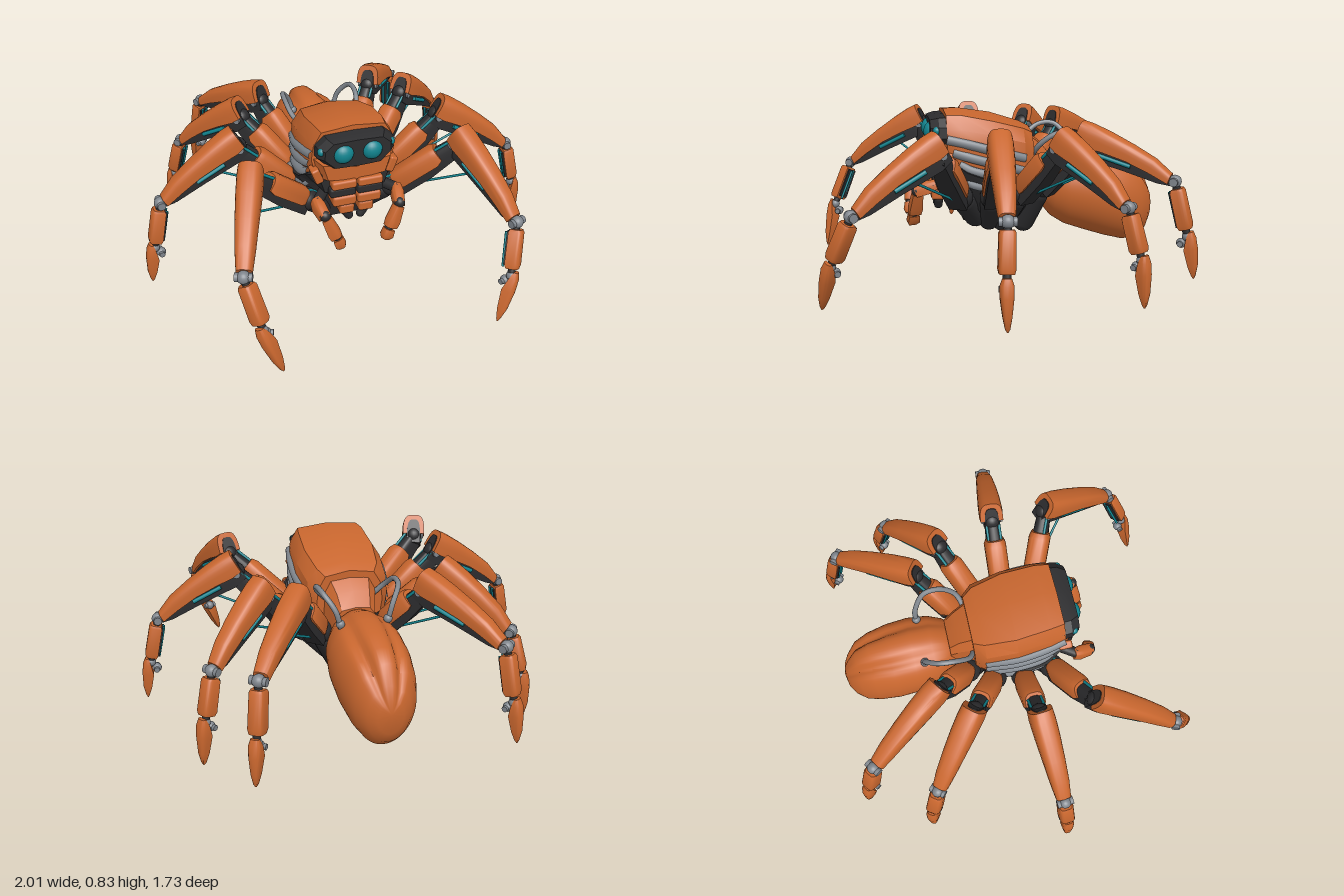
import * as THREE from 'three';
import { toCreasedNormals } from 'three/addons/utils/BufferGeometryUtils.js';
import { RoundedBoxGeometry } from 'three/addons/geometries/RoundedBoxGeometry.js';

const mat = (name, color) => Object.assign(new THREE.MeshStandardMaterial({ color }), { name });
const V = (x, y, z) => new THREE.Vector3(x, y, z);

// Skin closed rings of points (counter-clockwise about the direction of travel), capped at both ends
function loft(rings, crease = 0.7) {
  const pos = [], n = rings[0].length;
  const tri = (...ps) => ps.forEach(p => pos.push(p.x, p.y, p.z));
  const mid = r => r.reduce((s, p) => s.add(p), V(0, 0, 0)).divideScalar(n);
  const first = rings[0], last = rings[rings.length - 1], c0 = mid(first), c1 = mid(last);
  for (let i = 0; i < n; i++) {
    const j = (i + 1) % n;
    for (let k = 0; k + 1 < rings.length; k++) {
      const a = rings[k], b = rings[k + 1];
      tri(a[i], a[j], b[j]);
      tri(a[i], b[j], b[i]);
    }
    tri(c0, first[j], first[i]);
    tri(c1, last[i], last[j]);
  }
  const g = new THREE.BufferGeometry();
  g.setAttribute('position', new THREE.Float32BufferAttribute(pos, 3));
  return toCreasedNormals(g, crease);
}

// Symmetric section: half outline from top centre down to the bottom edge, placed at depth z
function section(z, half) {
  const left = half.map(([x, y]) => V(-x, y, z));
  const right = half.slice().reverse().filter(p => p[0] > 0).map(([x, y]) => V(x, y, z));
  return [...left, ...right];
}

// Arched shell from a to b, its back towards ref; stations are [t, half width, base height, arch height]
function shell(a, b, stations, power = 0.6, ref = V(0, 1, 0)) {
  const dir = b.clone().sub(a), d = dir.clone().normalize();
  const up = ref.clone().addScaledVector(d, -ref.dot(d)).normalize();
  const side = up.clone().cross(d), n = 14;
  const bend = v => Math.sign(v) * Math.abs(v) ** power;
  return loft(stations.map(([t, w, base, h]) => Array.from({ length: n + 1 }, (_, i) => {
    const q = Math.PI * i / n;
    return a.clone().addScaledVector(dir, t)
      .addScaledVector(side, w * bend(Math.cos(q)))
      .addScaledVector(up, base + h * bend(Math.max(0, Math.sin(q))));
  })));
}

export function createModel() {
  const orange = mat('orange armour', 0xc8662e), dark = mat('dark frame', 0x2c2c2e);
  const grey = mat('grey metal', 0x7f858c), teal = mat('teal glass', 0x11848f);
  const model = new THREE.Group();
  model.name = 'mechanicalSpider';
  const add = (parent, name, geo, material, p) => {
    const m = new THREE.Mesh(geo, material);
    m.name = name;
    if (p) m.position.copy(p);
    parent.add(m);
    return m;
  };
  const rod = (parent, name, a, b, r, material, round = false) => {
    const len = a.distanceTo(b);
    const g = round ? new THREE.CapsuleGeometry(r, len, 6, 16) : new THREE.CylinderGeometry(r, r, len, 12);
    const m = add(parent, name, g, material, a.clone().lerp(b, 0.5));
    m.quaternion.setFromUnitVectors(V(0, 1, 0), b.clone().sub(a).normalize());
    return m;
  };
  const ball = (parent, name, p, r, material) => add(parent, name, new THREE.SphereGeometry(r, 20, 14), material, p);
  const box = (parent, name, w, h, d, p, material) =>
    add(parent, name, new RoundedBoxGeometry(w, h, d, 2, Math.min(w, h, d) * 0.25), material, p);

  // Carapace and rear neck plate
  add(model, 'carapace', loft([
    section(-0.18, [[0, 0.73], [0.12, 0.71], [0.155, 0.65], [0.165, 0.56], [0.15, 0.46]]),
    section(-0.13, [[0, 0.755], [0.15, 0.735], [0.195, 0.67], [0.205, 0.57], [0.19, 0.46]]),
    section(0.02, [[0, 0.802], [0.172, 0.775], [0.213, 0.71], [0.225, 0.62], [0.205, 0.48]]),
    section(0.18, [[0, 0.826], [0.165, 0.807], [0.205, 0.74], [0.22, 0.66], [0.195, 0.53]]),
    section(0.25, [[0, 0.824], [0.155, 0.808], [0.195, 0.74], [0.205, 0.67], [0.18, 0.57]]),
  ], 0.45), orange);
  add(model, 'neckPlate', loft([
    section(-0.29, [[0, 0.585], [0.07, 0.575], [0.095, 0.54], [0.1, 0.42]]),
    section(-0.24, [[0, 0.65], [0.08, 0.64], [0.108, 0.59], [0.11, 0.42]]),
    section(-0.15, [[0, 0.715], [0.1, 0.705], [0.135, 0.64], [0.14, 0.42]]),
  ], 0.45), orange);

  // Dark underside hull, cut away below the head
  add(model, 'underHull', loft([
    section(-0.25, [[0, 0.5], [0.08, 0.48], [0.08, 0.36], [0.04, 0.32], [0, 0.32]]),
    section(-0.12, [[0, 0.52], [0.21, 0.49], [0.16, 0.34], [0.07, 0.25], [0, 0.25]]),
    section(0.08, [[0, 0.55], [0.25, 0.51], [0.18, 0.34], [0.08, 0.245], [0, 0.245]]),
    section(0.16, [[0, 0.6], [0.245, 0.54], [0.17, 0.36], [0.08, 0.27], [0, 0.27]]),
    section(0.2, [[0, 0.62], [0.225, 0.57], [0.17, 0.5], [0.08, 0.45], [0, 0.45]]),
    section(0.28, [[0, 0.64], [0.18, 0.6], [0.15, 0.5], [0.05, 0.46], [0, 0.46]]),
  ]), dark);

  // Face mask and chin
  const faceRing = (z, s) => section(z, [[0, 0.795], [0.135, 0.79], [0.18, 0.75], [0.183, 0.7], [0.125, 0.642], [0, 0.638]]
    .map(([x, y]) => [x * s, 0.72 + (y - 0.72) * s]));
  add(model, 'faceMask', loft([faceRing(0.23, 1.06), faceRing(0.285, 1.03), faceRing(0.325, 0.88)], 0.4), dark);
  add(model, 'chinPlate', loft([
    section(0.23, [[0, 0.65], [0.205, 0.68], [0.19, 0.57], [0, 0.56]]),
    section(0.31, [[0, 0.635], [0.165, 0.665], [0.14, 0.58], [0, 0.565]]),
  ], 0.4), orange);

  // Abdomen: egg-shaped with two grooves beside a raised spine; rows are [z, centre y, ry, rx, groove depth]
  const abdomen = [[-0.835, 0.32, 0.02, 0.015, 0.1], [-0.825, 0.305, 0.085, 0.06, 0.18], [-0.8, 0.305, 0.14, 0.1, 0.18],
    [-0.75, 0.325, 0.205, 0.142, 0.17], [-0.68, 0.345, 0.227, 0.166, 0.15], [-0.58, 0.37, 0.226, 0.183, 0.11],
    [-0.47, 0.395, 0.215, 0.185, 0.07], [-0.37, 0.41, 0.195, 0.17, 0.05], [-0.3, 0.42, 0.16, 0.14, 0.03],
    [-0.25, 0.43, 0.11, 0.1, 0], [-0.22, 0.43, 0.05, 0.05, 0]];
  add(model, 'abdomen', loft(abdomen.map(([z, cy, ry, rx, depth]) => Array.from({ length: 72 }, (_, i) => {
    const q = 2 * Math.PI * i / 72, fromTop = Math.abs(Math.atan2(Math.cos(q), Math.sin(q)));
    const r = 1 - depth * Math.exp(-(((fromTop - 0.5) / 0.16) ** 2));
    return V(rx * r * Math.cos(q), cy + ry * r * Math.sin(q), z);
  })), 0.9), orange);

  // Rows per leg: hip, trochanter, knee, ankle, wrist, tip
  const legs = {
    frontLeg: [[0.08, 0.29, 0.1], [0.22, 0.42, 0.19], [0.505, 0.68, 0.32], [0.64, 0.45, 0.71], [0.59, 0.22, 0.805], [0.52, 0, 0.855]],
    secondLeg: [[0.08, 0.27, 0.03], [0.24, 0.42, 0.04], [0.51, 0.69, 0.05], [0.9, 0.47, 0.085], [0.955, 0.23, 0.098], [0.99, 0.03, 0.1]],
    thirdLeg: [[0.08, 0.26, -0.04], [0.22, 0.43, -0.1], [0.43, 0.68, -0.24], [0.715, 0.46, -0.485], [0.765, 0.235, -0.535], [0.79, 0.02, -0.55]],
    rearLeg: [[0.06, 0.25, -0.15], [0.16, 0.45, -0.22], [0.3, 0.68, -0.385], [0.555, 0.535, -0.755], [0.585, 0.28, -0.815], [0.605, 0.08, -0.85]],
  };
  function buildLeg(name, rows, s) {
    const leg = new THREE.Group();
    leg.name = name;
    model.add(leg);
    const [hip, troch, knee, ankle, wrist, tip] = rows.map(([x, y, z]) => V(x * s, y, z));
    const at = (a, b, t, y = 0) => a.clone().lerp(b, t).add(V(0, y, 0));
    const across = ankle.clone().sub(knee).cross(V(0, 1, 0)).normalize().multiplyScalar(0.052);
    const outward = V(ankle.x, 0, ankle.z).normalize();
    // Hip and upper leg
    rod(leg, 'hip', hip, at(hip, troch, 0.75), 0.055, dark, true);
    ball(leg, 'hipJoint', troch, 0.06, dark);
    add(leg, 'upperFrame', shell(troch, knee, [[0, 0.045, -0.07, 0.1], [0.5, 0.045, -0.07, 0.11], [1, 0.032, -0.05, 0.08]]), dark);
    add(leg, 'upperArmour', shell(troch, knee, [[0.08, 0.045, -0.02, 0.07], [0.16, 0.055, -0.03, 0.09],
      [0.66, 0.055, -0.03, 0.093], [0.73, 0.045, -0.02, 0.073]]), orange);
    // Knee with twin teal struts
    ball(leg, 'kneeJoint', knee, 0.045, dark);
    rod(leg, 'kneePin', knee.clone().sub(across), knee.clone().add(across), 0.018, grey);
    for (const k of [-0.6, 0.6]) {
      const off = across.clone().multiplyScalar(k);
      rod(leg, 'kneeStrut', at(troch, knee, 0.68, 0.03).add(off), at(troch, knee, 1, 0.025).add(off), 0.007, teal);
      rod(leg, 'hipStrut', at(hip, troch, 0.8, 0.05).add(off), at(troch, knee, 0.2, 0.03).add(off), 0.008, teal);
    }
    // Long arched shin over a dark core, with pistons showing along its flanks
    add(leg, 'shinArmour', shell(knee, ankle, [[-0.06, 0.057, 0.005, 0.1], [0.05, 0.06, 0, 0.107], [0.25, 0.058, 0.008, 0.092],
      [0.5, 0.052, 0.01, 0.075], [0.75, 0.045, -0.002, 0.066], [0.95, 0.036, -0.018, 0.045]], 0.6), orange);
    add(leg, 'shinFrame', shell(knee, ankle, [[-0.07, 0.036, -0.045, 0.125], [0.08, 0.042, -0.055, 0.13], [0.5, 0.036, -0.04, 0.1],
      [0.85, 0.026, -0.035, 0.06], [0.98, 0.018, -0.025, 0.04]]), dark);
    for (const k of [-0.85, 0.85]) {
      const off = across.clone().multiplyScalar(k);
      rod(leg, 'shinPiston', at(knee, ankle, 0.2, -0.015).add(off), at(knee, ankle, 0.55, -0.008).addScaledVector(off, 0.85), 0.01, teal);
    }
    rod(leg, 'kneePiston', at(troch, knee, 0.35, -0.08), at(knee, ankle, 0.28, -0.05), 0.006, teal);
    // Ankle and lower shin
    ball(leg, 'ankleJoint', ankle, 0.03, grey);
    rod(leg, 'anklePin', ankle.clone().addScaledVector(across, -0.75), ankle.clone().addScaledVector(across, 0.75), 0.02, grey);
    rod(leg, 'lowerShaft', ankle, wrist, 0.018, dark);
    add(leg, 'lowerArmour', shell(ankle, wrist, [[0.13, 0.03, -0.02, 0.05], [0.18, 0.036, -0.026, 0.062],
      [0.78, 0.038, -0.028, 0.064], [0.86, 0.033, -0.022, 0.052]], 0.45, outward), orange);
    add(leg, 'lowerFrame', shell(ankle, wrist, [[0.17, 0.027, -0.034, 0.02], [0.8, 0.028, -0.036, 0.02]], 0.6, outward), dark);
    for (const k of [-0.25, 0.25]) {
      const off = outward.clone().multiplyScalar(-0.036).addScaledVector(across, k);
      rod(leg, 'lowerPiston', at(ankle, wrist, 0.2).add(off), at(ankle, wrist, 0.85).add(off), 0.006, teal);
    }
    // Wrist and clawed foot
    ball(leg, 'wristJoint', wrist, 0.024, grey);
    const knob = wrist.clone().addScaledVector(outward, -0.027).add(V(0, -0.035, 0));
    ball(leg, 'wristKnob', knob, 0.023, grey);
    rod(leg, 'wristPin', knob.clone().addScaledVector(across, -0.6), knob.clone().addScaledVector(across, 0.6), 0.014, grey);
    add(leg, 'claw', shell(wrist, tip, [[-0.1, 0.02, 0.012, 0.018], [0.05, 0.03, -0.002, 0.04], [0.3, 0.03, -0.02, 0.058],
      [0.7, 0.02, -0.016, 0.042], [0.93, 0.011, -0.008, 0.017], [1, 0.003, -0.004, 0.004]], 0.6, outward), orange);
  }

  for (const s of [1, -1]) {
    const side = s > 0 ? 'left' : 'right';
    const P = (x, y, z) => V(x * s, y, z);
    for (const [name, rows] of Object.entries(legs)) buildLeg(side + name[0].toUpperCase() + name.slice(1), rows, s);

    // Eyes with dark sockets
    ball(model, side + 'MainSocket', P(0.07, 0.72, 0.305), 0.058, dark).scale.z = 0.6;
    ball(model, side + 'MainEye', P(0.07, 0.72, 0.312), 0.05, teal).scale.z = 0.8;
    ball(model, side + 'SmallEye', P(0.168, 0.735, 0.295), 0.02, teal);

    // Side vents: grey bands sloping down to the rear
    for (let i = 0; i < 4; i++) {
      const y = 0.695 - i * 0.062, z = 0.25 - i * 0.03;
      const path = new THREE.CatmullRomCurve3([P(0.196, y, z), P(0.214, y - 0.025, 0.14),
        P(0.217, y - 0.058, 0.02), P(0.192, y - 0.1, -0.13)]);
      add(model, side + 'Vent', new THREE.TubeGeometry(path, 24, 0.023, 10), grey);
    }

    // Jaws, fangs and cheek plates
    box(model, side + 'UpperJaw', 0.122, 0.045, 0.1, P(0.065, 0.55, 0.28), orange);
    box(model, side + 'JawBand', 0.13, 0.05, 0.1, P(0.068, 0.505, 0.268), dark);
    box(model, side + 'MiddleJaw', 0.118, 0.055, 0.1, P(0.062, 0.458, 0.275), orange);
    box(model, side + 'LowerJaw', 0.075, 0.055, 0.085, P(0.048, 0.405, 0.275), orange);
    rod(model, side + 'Fang', P(0.05, 0.375, 0.28), P(0.03, 0.345, 0.28), 0.022, dark, true);
    const cheek = box(model, side + 'CheekPlate', 0.04, 0.08, 0.07, P(0.185, 0.595, 0.255), orange);
    cheek.rotation.z = -0.35 * s;

    // Feeler arm
    const f = [P(0.14, 0.48, 0.23), P(0.2, 0.48, 0.32), P(0.185, 0.45, 0.395), P(0.105, 0.27, 0.42)];
    rod(model, side + 'FeelerBase', f[0], f[1], 0.026, dark, true);
    add(model, side + 'FeelerUpper', shell(f[1], f[2], [[-0.2, 0.024, -0.022, 0.045], [0.3, 0.032, -0.03, 0.06], [1.1, 0.028, -0.025, 0.05]]), orange);
    ball(model, side + 'FeelerJoint', f[2], 0.028, dark);
    add(model, side + 'FeelerLower', shell(f[2], f[3], [[0.08, 0.026, -0.02, 0.045], [0.5, 0.033, -0.028, 0.058], [0.66, 0.03, -0.026, 0.052]]), orange);
    rod(model, side + 'FeelerWrist', f[2], f[3].clone().lerp(f[2], 0.1), 0.02, dark);
    add(model, side + 'FeelerTip', shell(f[2], f[3], [[0.72, 0.027, -0.022, 0.046], [0.9, 0.03, -0.025, 0.05], [1, 0.018, -0.015, 0.03]]), orange);

    // Hose from neck to abdomen
    const hose = new THREE.CatmullRomCurve3([P(0.11, 0.55, -0.42), P(0.135, 0.64, -0.415), P(0.18, 0.71, -0.36),
      P(0.188, 0.71, -0.28), P(0.17, 0.66, -0.21), P(0.12, 0.6, -0.18)]);
    add(model, side + 'Hose', new THREE.TubeGeometry(hose, 32, 0.013, 8), grey);
    ball(model, side + 'HosePlug', P(0.114, 0.575, -0.42), 0.021, grey);
  }
  return model;
}
